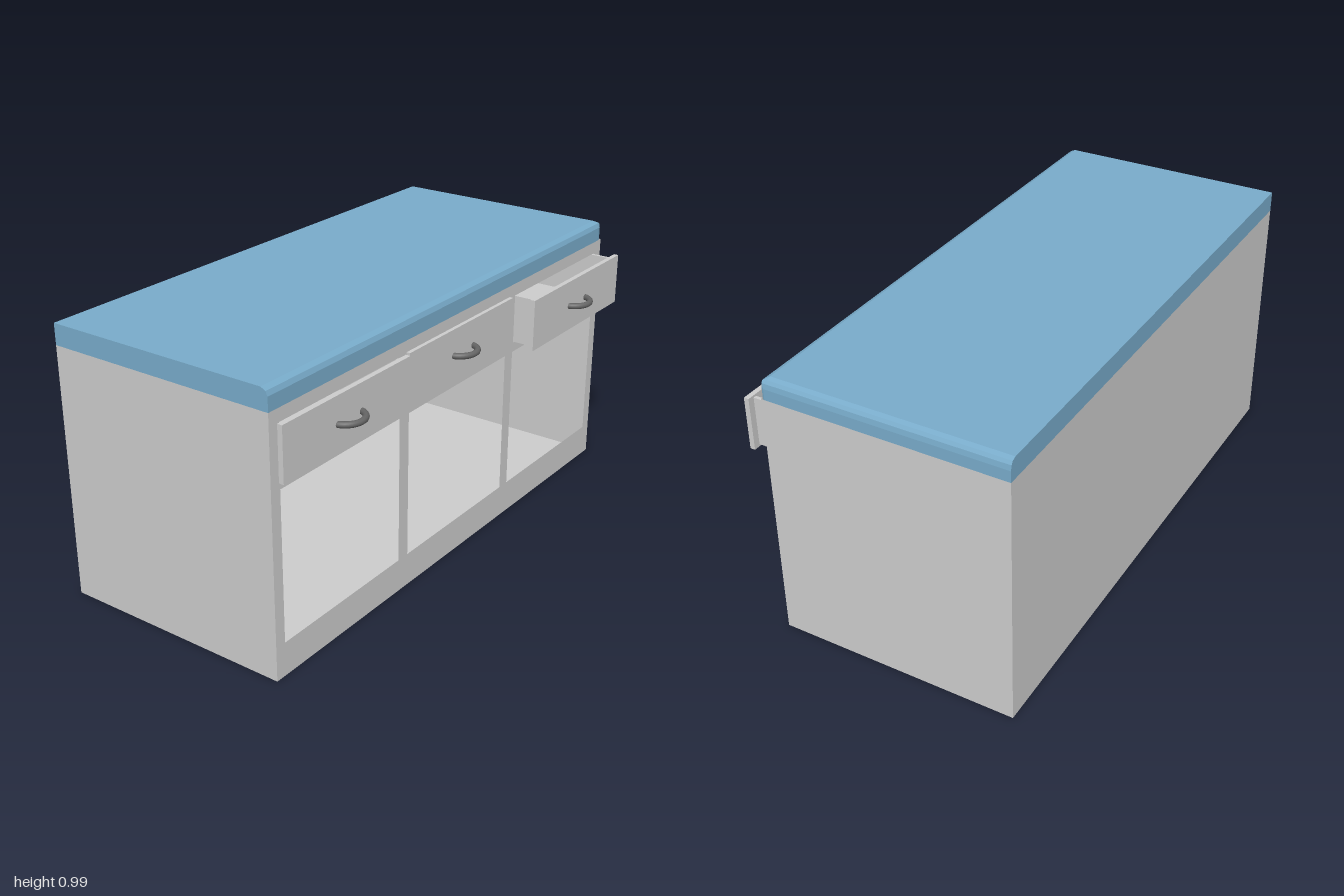
import * as THREE from 'three';

const FRONT = 0.36, BACK = -0.51, BODY_TOP = 0.91;
const DEPTH = FRONT - BACK, MID_Z = (FRONT + BACK) / 2;

const grey = new THREE.MeshStandardMaterial({ color: 0xcccccc, side: THREE.DoubleSide });
const blue = new THREE.MeshStandardMaterial({ color: 0x78abca });
const dark = new THREE.MeshStandardMaterial({ color: 0x666666 });

function add(parent, name, geometry, material, x = 0, y = 0, z = 0) {
  const mesh = new THREE.Mesh(geometry, material);
  mesh.name = name;
  mesh.position.set(x, y, z);
  parent.add(mesh);
  return mesh;
}

function rectangle(path, x0, y0, x1, y1) {
  return path.moveTo(x0, y0).lineTo(x1, y0).lineTo(x1, y1).lineTo(x0, y1).closePath();
}

// Worktop slab: a rounded front profile lofted along x, eased at the +x end
function worktopGeometry() {
  const profile = [[BACK, 0.91], [FRONT, 0.91], [FRONT, 0.96], [0.353, 0.976], [0.335, 0.985], [BACK, 0.985]];
  // x, highest y, furthest z
  const sections = [[-1, 0.985, FRONT], [0.975, 0.985, FRONT], [0.99, 0.979, 0.358], [0.997, 0.968, 0.354], [1, 0.95, 0.346]];
  const rings = sections.map(([x, top, front]) =>
    profile.map(([z, y]) => [x, Math.min(y, top), Math.min(z, front)]));
  const positions = [];
  const triangle = (a, b, c) => positions.push(...a, ...b, ...c);
  const n = profile.length;
  for (let s = 0; s < rings.length - 1; s++) {
    for (let i = 0; i < n; i++) {
      const j = (i + 1) % n, p = rings[s], q = rings[s + 1];
      triangle(p[i], q[i], p[j]);
      triangle(q[i], q[j], p[j]);
    }
  }
  const first = rings[0], last = rings[rings.length - 1];
  for (let i = 1; i < n - 1; i++) {
    triangle(first[0], first[i], first[i + 1]);
    triangle(last[0], last[i + 1], last[i]);
  }
  const geometry = new THREE.BufferGeometry();
  geometry.setAttribute('position', new THREE.Float32BufferAttribute(positions, 3));
  geometry.computeVertexNormals();
  return geometry;
}

// Drawer with an open-topped box, front panel and bow handle
function createDrawer(panelFront) {
  const drawer = new THREE.Group();
  drawer.name = 'drawer';
  const width = 0.59, height = 0.175, length = 0.76, wall = 0.012, thick = 0.018;
  const boxFront = panelFront - thick, midY = 0.775, midZ = boxFront - length / 2;
  add(drawer, 'drawerFront', new THREE.BoxGeometry(0.637, 0.19, thick), grey, 0, midY, panelFront - thick / 2);
  add(drawer, 'drawerBottom', new THREE.BoxGeometry(width, wall, length), grey, 0, midY - height / 2 + wall / 2, midZ);
  for (const side of [-1, 1]) {
    add(drawer, 'drawerSide', new THREE.BoxGeometry(wall, height, length), grey, side * (width - wall) / 2, midY, midZ);
  }
  add(drawer, 'drawerBack', new THREE.BoxGeometry(width, height, wall), grey, 0, midY, boxFront - length + wall / 2);

  const handle = new THREE.TorusGeometry(0.063, 0.011, 10, 20, Math.PI);
  handle.rotateX(Math.PI / 2);
  add(drawer, 'handle', handle, dark, 0, midY, panelFront - 0.018);
  return drawer;
}

export function createModel() {
  const model = new THREE.Group();
  model.name = 'counter';
  const bays = [-0.656, 0, 0.654];

  // Thin cabinet shell
  const end = new THREE.PlaneGeometry(DEPTH, BODY_TOP);
  for (const side of [-1, 1]) {
    add(model, 'sideWall', end, grey, side, BODY_TOP / 2, MID_Z).rotation.y = side * Math.PI / 2;
  }
  add(model, 'backWall', new THREE.PlaneGeometry(2, BODY_TOP), grey, 0, BODY_TOP / 2, BACK).rotation.y = Math.PI;
  add(model, 'floor', new THREE.PlaneGeometry(2, DEPTH), grey, 0, 0, MID_Z).rotation.x = Math.PI / 2;

  // Front frame with a cupboard opening and a drawer slot in each bay
  const frame = rectangle(new THREE.Shape(), -1, 0, 1, BODY_TOP);
  for (const x of bays) {
    frame.holes.push(rectangle(new THREE.Path(), x - 0.302, 0.12, x + 0.302, 0.65));
    frame.holes.push(rectangle(new THREE.Path(), x - 0.298, 0.685, x + 0.298, 0.865));
  }
  add(model, 'frontFrame', new THREE.ShapeGeometry(frame), grey, 0, 0, FRONT);

  add(model, 'worktop', worktopGeometry(), blue);

  // Drawers pulled out by different amounts
  const pulled = [0.388, 0.374, 0.453];
  bays.forEach((x, i) => {
    const drawer = createDrawer(pulled[i]);
    drawer.position.x = x;
    model.add(drawer);
  });
  return model;
}
